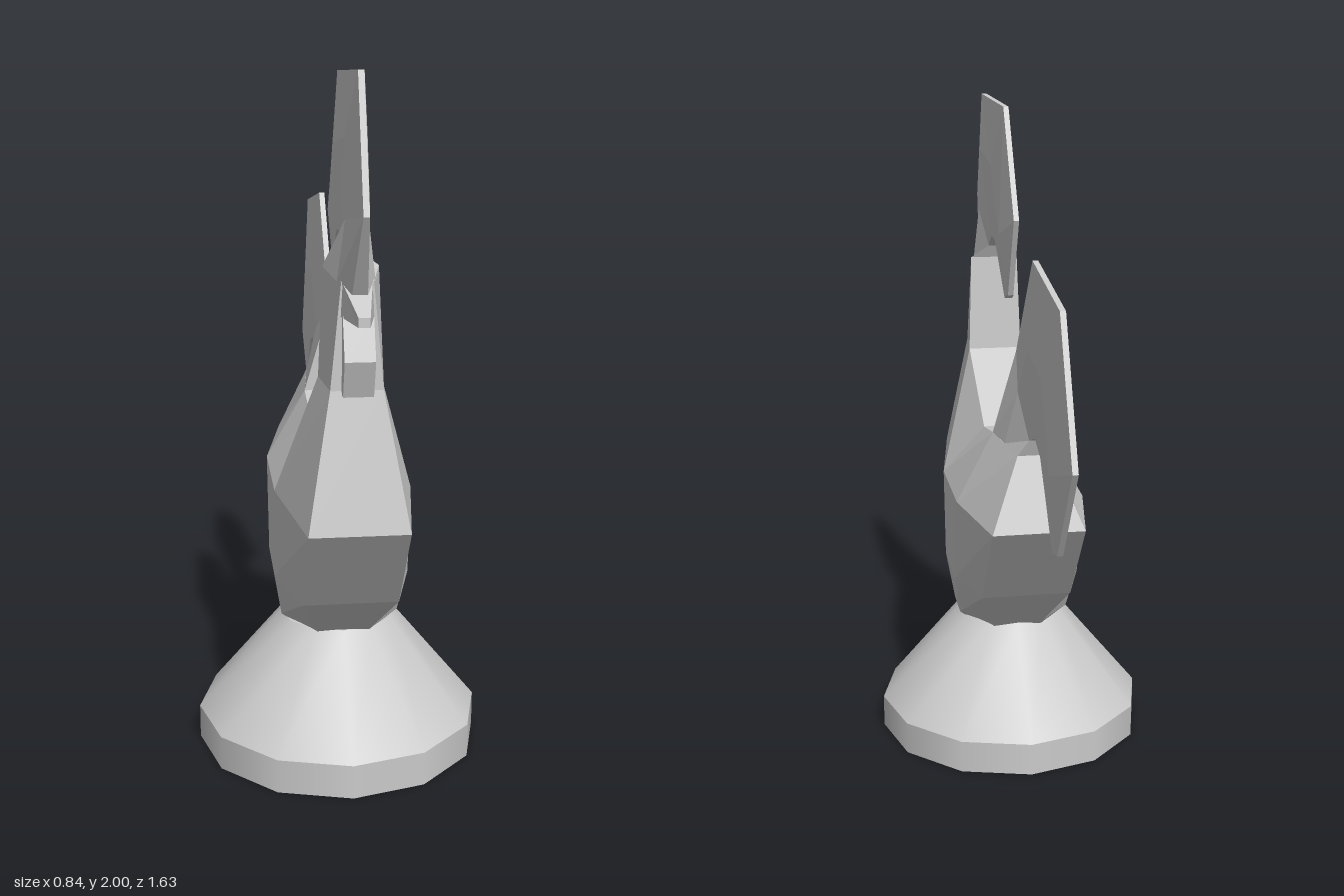
import * as THREE from 'three';

const flat = new THREE.MeshStandardMaterial({ color: 0xcccccc, flatShading: true });
const smooth = new THREE.MeshStandardMaterial({ color: 0xcccccc });

// Lofts through mirrored sections. Each section lists only its +x half as [x, y, z].
function loft(name, halves) {
  const rings = halves.map(h => [...h, ...h.map(([x, y, z]) => [-x, y, z]).reverse()]);
  const n = rings[0].length, pos = [];
  const quad = (a, b, c, d) => pos.push(...a, ...b, ...c, ...a, ...c, ...d);
  for (let r = 0; r + 1 < rings.length; r++) {
    const a = rings[r], b = rings[r + 1];
    for (let i = 0; i < n; i++) {
      const j = (i + 1) % n;
      quad(a[i], a[j], b[j], b[i]);
    }
  }
  // end caps as strips between mirrored points
  const first = rings[0], last = rings[rings.length - 1];
  for (let i = 0; i < n / 2 - 1; i++) {
    quad(last[i], last[i + 1], last[n - 2 - i], last[n - 1 - i]);
    quad(first[n - 1 - i], first[n - 2 - i], first[i + 1], first[i]);
  }
  const geo = new THREE.BufferGeometry();
  geo.setAttribute('position', new THREE.Float32BufferAttribute(pos, 3));
  geo.computeVertexNormals();
  const mesh = new THREE.Mesh(geo, flat);
  mesh.name = name;
  return mesh;
}

// Curved plume: each section is [outer z, y, mid z, y, inner z, y, half widths]
function plume(name, sections) {
  return loft(name, sections.map(([oz, oy, mz, my, iz, iy, w = [0.008, 0.03, 0.02]]) =>
    [[w[0], oy, oz], [w[1], my, mz], [w[2], iy, iz]]));
}

// Body ring with the side-front point doubled, to match the five-point back line
const bodyRing = (y, front, s1, s2, back, wEnd, wSide) =>
  [[wEnd, y, front], [wSide, y, s1], [wSide, y, s1], [wSide, y, s2], [wEnd, y, back]];

export function createModel() {
  const model = new THREE.Group();

  // Twelve-sided pedestal
  const foot = new THREE.Mesh(new THREE.CylinderGeometry(0.418, 0.418, 0.1, 12), smooth);
  foot.name = 'pedestalFoot';
  foot.position.set(0, 0.05, 0.2);
  const cone = new THREE.Mesh(new THREE.CylinderGeometry(0.17, 0.418, 0.3, 12), smooth);
  cone.name = 'pedestalCone';
  cone.position.set(0, 0.25, 0.2);
  model.add(foot, cone);

  // Body, from the belly up to the neck root, saddle and tail root
  model.add(loft('body', [
    bodyRing(0.39, 0.35, 0.24, 0.14, 0.04, 0.075, 0.15),
    bodyRing(0.41, 0.375, 0.25, 0.13, 0.02, 0.08, 0.172),
    bodyRing(0.55, 0.53, 0.30, 0.07, -0.12, 0.135, 0.195),
    bodyRing(0.82, 0.73, 0.33, 0.0, -0.33, 0.135, 0.195),
    [[0.07, 1.19, 0.65], [0.085, 1.19, 0.485], [0.08, 1.0, 0.2], [0.08, 1.03, 0.02], [0.05, 1.03, -0.25]],
  ]));

  // Neck and head
  model.add(loft('neck', [
    [[0.07, 1.19, 0.65], [0.085, 1.19, 0.485]],
    [[0.042, 1.475, 0.65], [0.075, 1.49, 0.5]],
  ]));

  // Beak and wattle
  model.add(loft('beak', [
    [[0.045, 1.385, 0.64], [0.04, 1.475, 0.64]],
    [[0.015, 1.385, 0.79], [0.015, 1.41, 0.79]],
  ]));
  model.add(loft('wattle', [
    [[0.04, 1.18, 0.68], [0.04, 1.18, 0.64]],
    [[0.04, 1.28, 0.715], [0.04, 1.28, 0.64]],
    [[0.04, 1.39, 0.67], [0.04, 1.39, 0.64]],
  ]));

  // Comb on the head
  model.add(plume('comb', [
    [0.70, 1.45, 0.62, 1.47, 0.50, 1.49, [0.02, 0.05, 0.075]],
    [0.82, 1.66, 0.63, 1.63, 0.48, 1.53],
    [0.70, 2.0, 0.60, 1.83, 0.42, 1.57],
    [0.25, 1.98, 0.37, 1.80, 0.35, 1.565],
    [0.06, 1.66, 0.21, 1.60, 0.28, 1.51],
    [0.17, 1.42, 0.19, 1.415, 0.21, 1.405, [0.008, 0.012, 0.012]],
  ]));

  // Tail
  model.add(plume('tail', [
    [0.02, 1.03, -0.11, 1.03, -0.25, 1.03, [0.08, 0.065, 0.05]],
    [0.02, 1.28, -0.135, 1.19, -0.27, 1.08],
    [-0.25, 1.59, -0.29, 1.345, -0.36, 1.11],
    [-0.64, 1.52, -0.51, 1.31, -0.44, 1.08],
    [-0.815, 1.14, -0.62, 1.08, -0.51, 1.0],
    [-0.63, 0.86, -0.60, 0.855, -0.58, 0.85, [0.008, 0.012, 0.012]],
  ]));

  return model;
}
